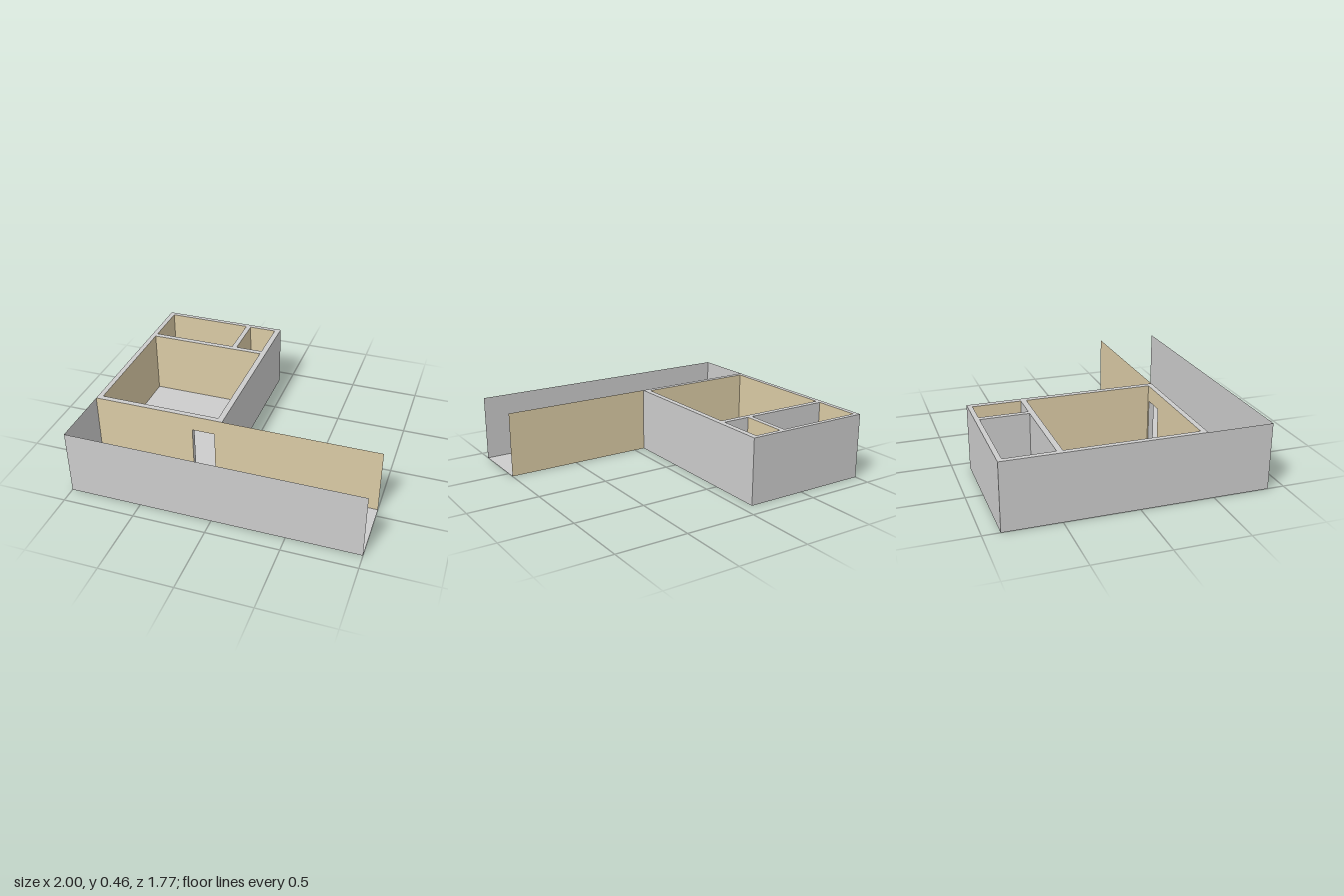
import * as THREE from 'three';

export function createModel() {
  const model = new THREE.Group();
  const paint = (name, color) => {
    const m = new THREE.MeshStandardMaterial({ color, side: THREE.DoubleSide });
    m.name = name;
    return m;
  };
  const grey = paint('plaster grey', 0xcccccc);
  const tan = paint('wall tan', 0xdbcba5);

  const H = 0.46, Z = 0.885, hallZ = 0.435, eastX = -0.08;
  const door = { x1: -0.295, x2: -0.137, h: 0.35 };

  const add = (name, geometry, material) => {
    const mesh = new THREE.Mesh(geometry, material);
    mesh.name = name;
    model.add(mesh);
    return mesh;
  };
  const outline = (pts) => pts.map(([a, b]) => new THREE.Vector2(a, b));

  // Horizontal sheet from x,z outlines, facing up
  const slab = (name, pts, y, holes = []) => {
    const flip = (list) => outline(list.map(([x, z]) => [x, -z]));
    const shape = new THREE.Shape(flip(pts));
    holes.forEach((h) => shape.holes.push(new THREE.Path(flip(h))));
    const g = new THREE.ShapeGeometry(shape).rotateX(-Math.PI / 2);
    add(name, g, grey).position.y = y;
  };

  // Upright sheet running between two plan points
  const wall = (name, x1, z1, x2, z2, material, y1 = 0, y2 = H) => {
    const g = new THREE.PlaneGeometry(Math.hypot(x2 - x1, z2 - z1), y2 - y1);
    const mesh = add(name, g, material);
    mesh.position.set((x1 + x2) / 2, (y1 + y2) / 2, (z1 + z2) / 2);
    mesh.rotation.y = -Math.atan2(z2 - z1, x2 - x1);
  };

  // Upright sheet facing front with the doorway notched out
  const doorWall = (name, x1, x2, z) => {
    const shape = new THREE.Shape(outline([
      [x1, 0], [door.x1, 0], [door.x1, door.h], [door.x2, door.h],
      [door.x2, 0], [x2, 0], [x2, H], [x1, H],
    ]));
    add(name, new THREE.ShapeGeometry(shape), tan).position.z = z;
  };

  const rect = ({ x1, x2, z1, z2 }) => [[x1, z1], [x2, z1], [x2, z2], [x1, z2]];
  const mainRoom = { x1: -0.965, x2: -0.12, z1: -0.487, z2: 0.398 };
  const backRoom = { x1: -0.965, x2: -0.352, z1: -0.853, z2: -0.525 };
  const closet = { x1: -0.316, x2: -0.12, z1: -0.853, z2: -0.525 };

  // L-shaped floor
  slab('floor', [[-1, -Z], [eastX, -Z], [eastX, hallZ], [1, hallZ], [1, Z], [-1, Z]], 0);

  // Top edges of the thick walls
  slab('wallTops', rect({ x1: -1, x2: eastX, z1: -Z, z2: hallZ }), H,
    [mainRoom, backRoom, closet].map(rect));

  // Outer walls, hallway open at its +x end
  wall('frontWall', -1, Z, 1, Z, grey);
  wall('rightWall', -1, -Z, -1, Z, grey);
  wall('backWall', -1, -Z, eastX, -Z, grey);
  wall('leftWall', eastX, -Z, eastX, hallZ, grey);
  doorWall('hallwayWall', -1, 1, hallZ);

  // Room linings: back, front, right and left faces
  const lining = (name, r, front, left) => {
    wall(name + 'Back', r.x1, r.z1, r.x2, r.z1, tan);
    wall(name + 'Right', r.x1, r.z1, r.x1, r.z2, tan);
    wall(name + 'Left', r.x2, r.z1, r.x2, r.z2, left);
    if (front) wall(name + 'Front', r.x1, r.z2, r.x2, r.z2, front);
    else doorWall(name + 'Front', r.x1, r.x2, r.z2);
  };
  lining('mainRoom', mainRoom, null, tan);
  lining('backRoom', backRoom, grey, grey);
  lining('closet', closet, grey, tan);

  // Doorway jambs and lintel
  for (const x of [door.x1, door.x2]) {
    wall('doorJamb', x, mainRoom.z2, x, hallZ, grey, 0, door.h);
  }
  slab('doorLintel', rect({ x1: door.x1, x2: door.x2, z1: mainRoom.z2, z2: hallZ }), door.h);

  return model;
}
